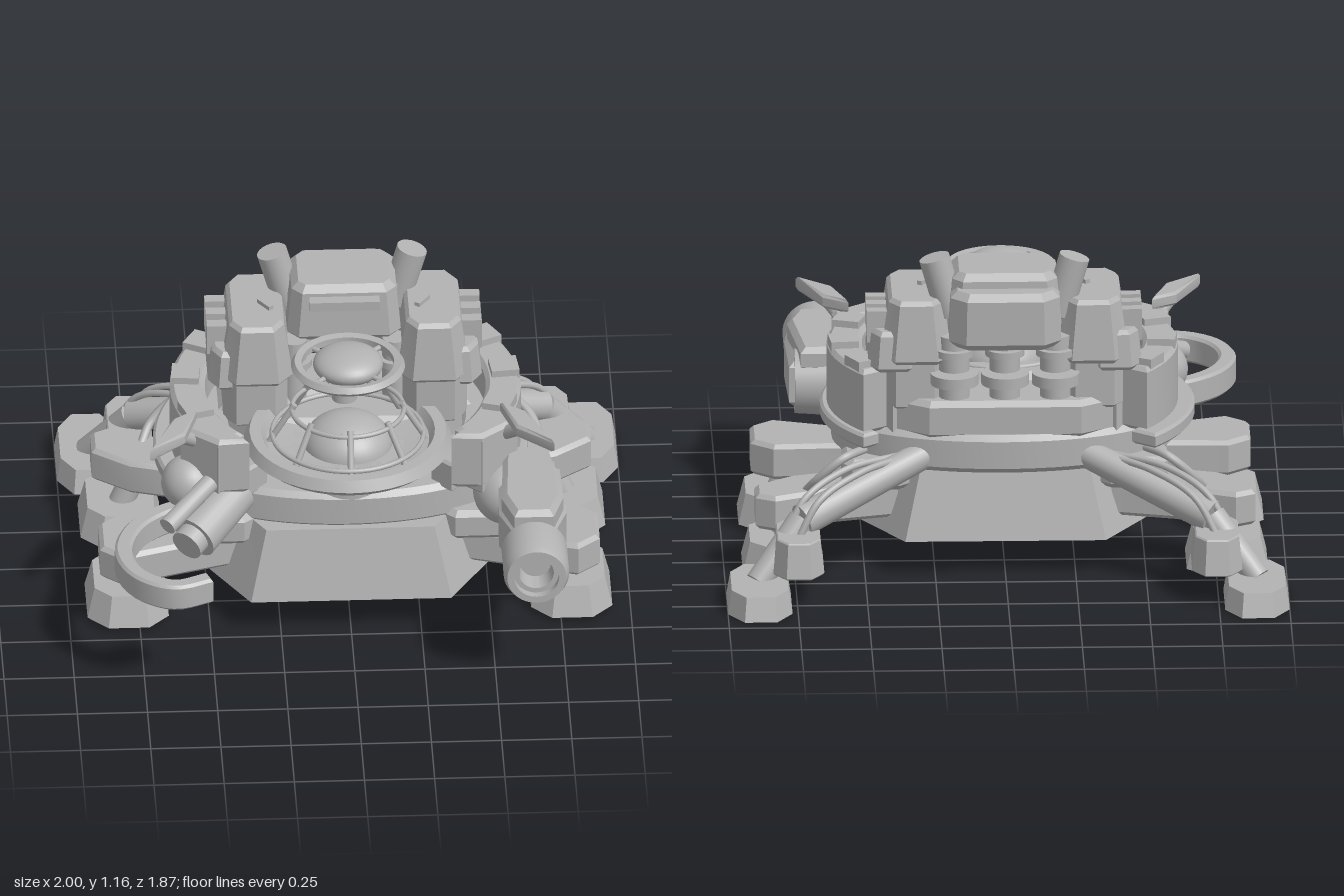
import * as THREE from 'three';
import { toCreasedNormals } from 'three/addons/utils/BufferGeometryUtils.js';

const V = (a) => new THREE.Vector3(...a);

export function createModel() {
  const root = new THREE.Group();
  root.name = 'walkingFortress';
  const grey = new THREE.MeshStandardMaterial({ color: 0xb2b2b2 });
  grey.name = 'hullGrey';

  const add = (name, geo, pos = [0, 0, 0], rot = [0, 0, 0]) => {
    const m = new THREE.Mesh(geo, grey);
    m.name = name;
    m.position.set(...pos);
    m.rotation.set(...rot);
    root.add(m);
    return m;
  };
  const box = (name, w, h, d, pos, rot) => add(name, new THREE.BoxGeometry(w, h, d), pos, rot);

  // Upright prism from [x, z] points, with optional chamfer and tapered top
  const prism = (name, pts, y0, y1, bevel = 0, taperX = 1, taperZ = taperX) => {
    const shape = new THREE.Shape(pts.map(([x, z]) => new THREE.Vector2(x, -z)));
    let geo = new THREE.ExtrudeGeometry(shape, {
      depth: y1 - y0 - 2 * bevel, bevelEnabled: bevel > 0, bevelSize: bevel,
      bevelThickness: bevel, bevelOffset: -bevel, bevelSegments: 1,
    });
    geo.rotateX(-Math.PI / 2).translate(0, y0 + bevel, 0);
    geo.computeBoundingBox();
    const c = geo.boundingBox.getCenter(new THREE.Vector3());
    const p = geo.attributes.position;
    for (let i = 0; i < p.count; i++) {
      const k = (p.getY(i) - y0) / (y1 - y0);
      p.setX(i, c.x + (p.getX(i) - c.x) * (1 + (taperX - 1) * k));
      p.setZ(i, c.z + (p.getZ(i) - c.z) * (1 + (taperZ - 1) * k));
    }
    geo = toCreasedNormals(geo, 0.4);
    return add(name, geo);
  };
  const octagon = (cx, cz, hx, hz, kx = 0.5, kz = 0.5) => [
    [hx, hz * kz], [hx * kx, hz], [-hx * kx, hz], [-hx, hz * kz],
    [-hx, -hz * kz], [-hx * kx, -hz], [hx * kx, -hz], [hx, -hz * kz],
  ].map(([x, z]) => [cx + x, cz + z]);

  // Ring segment: angles run from +x towards +z
  const arc = (r0, r1, a0, a1, n = 28) => {
    const outer = [], inner = [];
    for (let i = 0; i <= n; i++) {
      const a = a0 + (a1 - a0) * i / n;
      outer.push([r1 * Math.cos(a), r1 * Math.sin(a)]);
      inner.unshift([r0 * Math.cos(a), r0 * Math.sin(a)]);
    }
    return [...outer, ...inner];
  };

  // Cylinder or cone between two points
  const rod = (name, a, b, r0, r1 = r0, sides = 20) => {
    const A = V(a), B = V(b), d = B.clone().sub(A);
    const m = add(name, new THREE.CylinderGeometry(r1, r0, d.length(), sides));
    m.position.copy(A).add(B).multiplyScalar(0.5);
    m.quaternion.setFromUnitVectors(new THREE.Vector3(0, 1, 0), d.normalize());
    return m;
  };
  const hose = (name, pts, r) =>
    add(name, new THREE.TubeGeometry(new THREE.CatmullRomCurve3(pts.map(V)), 28, r, 8));
  const lathe = (name, pts, pos, n = 48) => {
    const geo = new THREE.LatheGeometry(pts.map((p) => new THREE.Vector2(...p)), n);
    return add(name, toCreasedNormals(geo, 0.6), pos);
  };

  // Base and round deck
  prism('base', octagon(0, 0.025, 0.51, 0.455, 0.7, 0.42), 0.13, 0.39, 0, 0.84, 0.86);
  const deck = [];
  for (let i = 0; i < 64; i++) {
    const a = i / 64 * Math.PI * 2, s = Math.sin(a);
    deck.push([0.61 * Math.cos(a), (s > 0 ? 0.4 : 0.43) * Math.sign(s) * Math.abs(s) ** 0.8]);
  }
  prism('deck', deck, 0.38, 0.52, 0.02);
  prism('core', octagon(0, -0.16, 0.45, 0.24, 0.6, 0.5), 0.5, 0.64, 0.02);

  // Front dish with dome and cage
  const dz = 0.2;
  add('dishPedestal', new THREE.CylinderGeometry(0.2, 0.2, 0.12, 40), [0, 0.56, dz]);
  lathe('dish', [[0, 0.6], [0.2, 0.59], [0.335, 0.6], [0.355, 0.625], [0.37, 0.63], [0.35, 0.67],
    [0.31, 0.67], [0.29, 0.635], [0.2, 0.62], [0, 0.62]], [0, 0, dz]);
  add('dishDome', new THREE.SphereGeometry(0.16, 32, 12, 0, Math.PI * 2, 0, Math.PI / 2),
    [0, 0.61, dz]).scale.y = 0.75;
  for (const [r, y] of [[0.27, 0.66], [0.2, 0.76]])
    add('cageRing', new THREE.TorusGeometry(r, 0.009, 8, 48), [0, y, dz], [Math.PI / 2, 0, 0]);
  for (let i = 0; i < 8; i++) {
    const a = i * Math.PI / 4, c = Math.cos(a), s = Math.sin(a);
    rod('cageStrut', [0.28 * c, 0.63, dz + 0.28 * s], [0.19 * c, 0.78, dz + 0.19 * s], 0.012, 0.012, 8);
  }

  // Upper lens and its halo
  add('lens', new THREE.SphereGeometry(0.125, 32, 20), [0, 0.955, 0.215]).scale.y = 0.46;
  lathe('lensHalo', [[0.165, 0.935], [0.19, 0.93], [0.203, 0.945], [0.19, 0.965],
    [0.165, 0.96], [0.165, 0.935]], [0, 0, 0.21]);
  for (let i = 0; i < 4; i++) {
    const a = (i + 0.5) * Math.PI / 2;
    rod('haloSpoke', [0.11 * Math.cos(a), 0.945, 0.21 + 0.11 * Math.sin(a)],
      [0.18 * Math.cos(a), 0.945, 0.21 + 0.18 * Math.sin(a)], 0.01, 0.01, 8);
  }

  // Central head, visor and back pack
  prism('head', octagon(0, -0.21, 0.205, 0.155, 0.8, 0.7), 0.88, 1.1, 0.025, 0.9);
  prism('backPack', octagon(0, -0.29, 0.2, 0.15, 0.7, 0.6), 0.84, 1.05, 0.025, 0.97);
  box('visor', 0.25, 0.035, 0.05, [0, 1.045, -0.05]);
  for (const x of [-0.18, 0, 0.18]) {
    rod('column', [x, 0.52, -0.32], [x, 0.87, -0.32], 0.055);
    add('columnFlange', new THREE.CylinderGeometry(0.085, 0.085, 0.04, 24), [x, 0.72, -0.36]);
    add('columnCollar', new THREE.CylinderGeometry(0.07, 0.07, 0.025, 24), [x, 0.81, -0.33]);
    rod('frontColumn', [x, 0.6, -0.07], [x, 0.89, -0.07], 0.045);
    add('frontFlange', new THREE.CylinderGeometry(0.065, 0.065, 0.025, 24), [x, 0.8, -0.07]);
  }

  for (const s of [1, -1]) {
    const P = (pts) => pts.map(([x, z]) => [s * x, z]);

    // Turret, chimney and side vents
    prism('turretFoot', octagon(s * 0.32, -0.15, 0.115, 0.2, 0.6, 0.7), 0.6, 0.8, 0.01);
    prism('turret', octagon(s * 0.315, -0.155, 0.13, 0.222, 0.6, 0.7), 0.77, 1, 0.015, 0.74, 0.88);
    prism('turretShoulder', octagon(s * 0.395, -0.165, 0.095, 0.2, 0.6, 0.7), 0.74, 0.885, 0.015, 0.82, 0.9);
    rod('chimney', [s * 0.19, 0.93, -0.26], [s * 0.25, 1.14, -0.26], 0.055);
    box('turretSight', 0.02, 0.03, 0.07, [s * 0.28, 1, -0.12], [0, s * -0.6, 0]);
    for (const z of [-0.095, -0.18, -0.265]) box('vent', 0.08, 0.115, 0.045, [s * 0.45, 0.89, z]);

    // Curved side wall, rim band and battlements
    prism('sideWall', P(arc(0.5, 0.625, -0.63, 0.72)), 0.51, 0.75, 0.015);
    prism('rimBand', P(arc(0.58, s > 0 ? 0.65 : 0.685, -0.68, 0.55)), 0.47, 0.525, 0.01);
    prism('innerStep', P(arc(0.42, 0.52, -0.7, 0.8)), 0.5, 0.62, 0.01);
    for (const a of [-0.5, -0.1, 0.32])
      box('battlement', 0.1, 0.04, 0.1, [s * 0.57 * Math.cos(a), 0.755, 0.57 * Math.sin(a)], [0, s * -a, 0]);
    prism('wallEnd', P([[0.36, 0.4], [0.47, 0.41], [0.6, 0.3], [0.58, 0.2], [0.46, 0.28]]), 0.54, 0.76, 0.015);

    // Blade plate on a short arm
    prism('blade', P([[0.54, 0.26], [0.63, 0.32], [0.72, 0.54], [0.59, 0.43]]), 0.76, 0.81, 0.01);
    rod('bladeArm', [s * 0.54, 0.7, 0.3], [s * 0.61, 0.77, 0.38], 0.025);

    // Four walking legs
    const frontThigh = [[0.38, 0.13], [0.6, 0.14], [0.81, 0.13], [0.89, 0.2],
      [0.89, 0.37], [0.81, 0.44], [0.6, 0.37], [0.38, 0.3]];
    const backThigh = [[0.38, -0.13], [0.6, -0.15], [0.76, -0.2], [0.89, -0.3],
      [0.89, -0.42], [0.82, -0.46], [0.6, -0.36], [0.38, -0.3]];
    for (const [t, thigh] of [[1, frontThigh], [-1, backThigh]]) {
      prism('thigh', P(thigh), 0.18, 0.31, 0.015);
      prism('hip', octagon(s * 0.46, t * 0.26, 0.12, 0.11, 0.7, 0.7), 0.3, 0.415, 0.02);
      rod('ankle', [s * 0.74, 0.21, t * 0.28], [s * 0.79, 0.1, t * 0.27], 0.045);
      prism('foot', octagon(s * 0.79, t > 0 ? 0.25 : -0.3, 0.145, 0.195, 0.5, 0.6), 0.015, 0.125, 0, 0.82);
    }
    hose('midHose', [[s * 0.5, 0.45, -0.34], [s * 0.58, 0.44, -0.42], [s * 0.67, 0.36, -0.41],
      [s * 0.72, 0.28, -0.33]], 0.016);

    // Long rear leg with two feet
    rod('rearThigh', [s * 0.26, 0.44, -0.33], [s * 0.73, 0.27, -0.6], 0.05, 0.06);
    prism('kneePad', octagon(s * 0.745, -0.63, 0.09, 0.172, 0.5, 0.6), 0.11, 0.24, 0.005, 0.86);
    rod('rearShin', [s * 0.73, 0.27, -0.59], [s * 0.89, 0.07, -0.69], 0.05, 0.045);
    prism('rearFoot', octagon(s * 0.885, -0.72, 0.115, 0.218, 0.5, 0.55), 0, 0.085, 0, 0.88);
    for (const k of [0, 0.045])
      hose('rearHose', [[s * (0.34 + k), 0.43, -0.36], [s * (0.52 + k), 0.42, -0.52 + k],
        [s * (0.67 + k), 0.35, -0.63 + k], [s * (0.75 + k), 0.21, -0.67 + k]], 0.013);
  }

  // Left arm: heavy cannon
  const gx = 0.64, gy = 0.48;
  prism('cannonHousing', [[0.53, 0.3], [0.75, 0.3], [0.76, 0.6], [0.71, 0.74], [0.57, 0.74], [0.52, 0.6]],
    0.38, 0.58, 0.035);
  prism('cannonCover', [[0.55, 0.26], [0.71, 0.26], [0.75, 0.6], [0.71, 0.73], [0.57, 0.73], [0.53, 0.6]],
    0.54, 0.63, 0.02);
  add('leftShoulder', new THREE.SphereGeometry(0.12, 28, 18), [0.56, 0.48, 0.33]);
  rod('shoulderCap', [0.58, 0.48, 0.35], [0.73, 0.48, 0.35], 0.125, 0.115, 32);
  const barrel = lathe('cannonBarrel', [[0, 0], [0.105, 0], [0.117, 0.01], [0.117, 0.17], [0.105, 0.2],
    [0.08, 0.2], [0.08, 0.17], [0.062, 0.17], [0.055, 0.1], [0, 0.1]], [gx, gy, 0.73]);
  barrel.rotation.x = Math.PI / 2;

  // Right arm: short gun, side tube and sickle claw
  add('rightShoulder', new THREE.SphereGeometry(0.1, 28, 18), [-0.57, 0.53, 0.3]);
  rod('armGun', [-0.4, 0.5, 0.32], [-0.56, 0.42, 0.5], 0.075, 0.085);
  rod('armGunTip', [-0.55, 0.43, 0.49], [-0.59, 0.41, 0.54], 0.06);
  rod('armTube', [-0.5, 0.585, 0.4], [-0.66, 0.51, 0.57], 0.033);
  const curve = new THREE.CatmullRomCurve3([[-0.56, 0, 0.33], [-0.66, 0, 0.37], [-0.77, 0, 0.48],
    [-0.82, 0, 0.65], [-0.77, 0, 0.81], [-0.65, 0, 0.89], [-0.52, 0, 0.845]].map(V));
  const outer = [], inner = [];
  for (let i = 0; i <= 30; i++) {
    const p = curve.getPoint(i / 30), d = curve.getTangent(i / 30), w = 0.031;
    outer.push([p.x - d.z * w, p.z + d.x * w]);
    inner.unshift([p.x + d.z * w, p.z - d.x * w]);
  }
  prism('claw', [...outer, ...inner], 0.37, 0.47, 0.01);

  return root;
}
